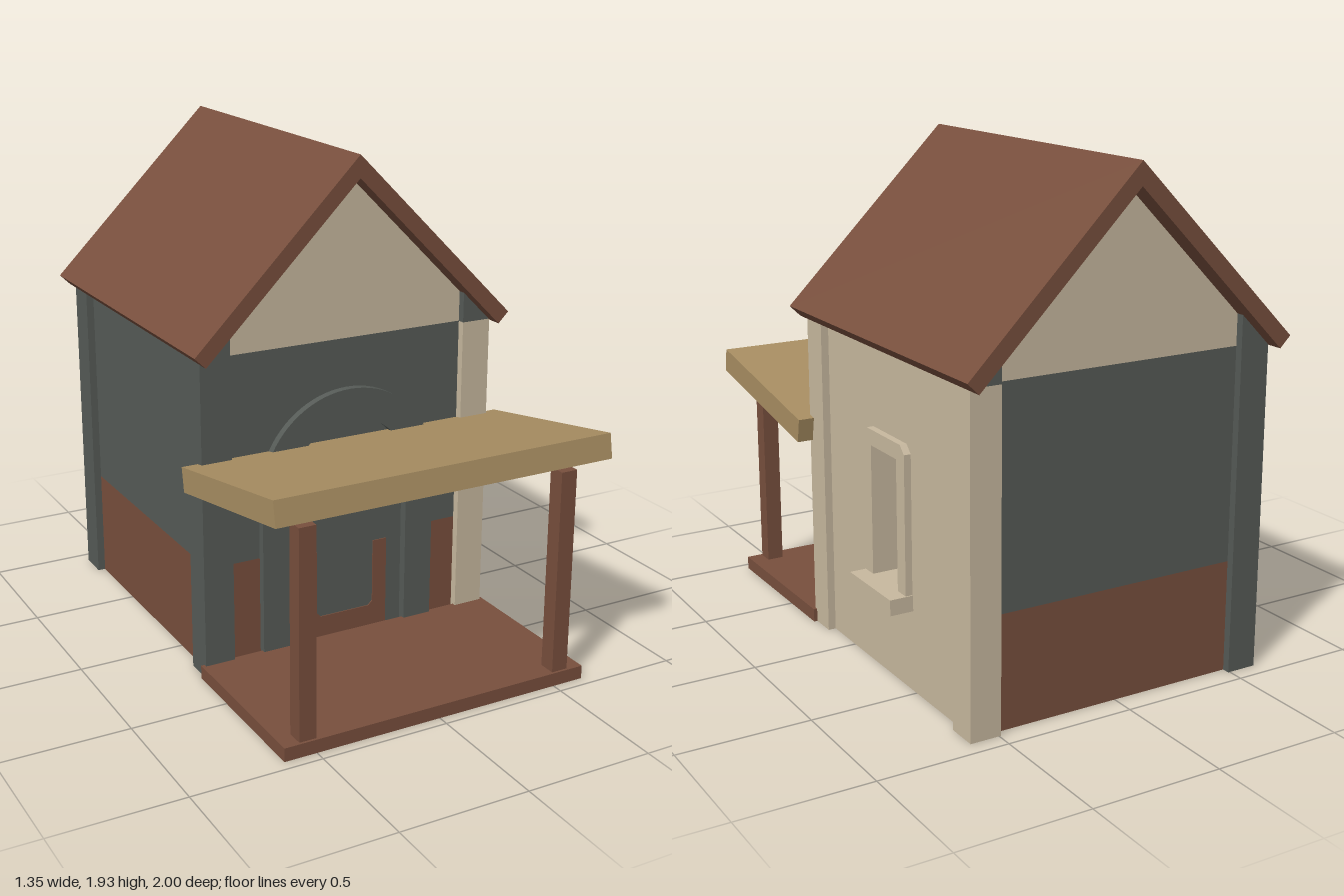
import * as THREE from 'three';

const paint = (name, color) => {
  const m = new THREE.MeshStandardMaterial({ color });
  m.name = name;
  return m;
};

export function createModel() {
  const house = new THREE.Group();
  house.name = 'house';
  const cream = paint('cream plaster', 0xc8b99f);
  const slate = paint('slate paint', 0x565b57);
  const brown = paint('brown wood', 0x784f3d);
  const gold = paint('golden awning', 0xa88e62);

  const add = (name, geometry, material) => {
    const mesh = new THREE.Mesh(geometry, material);
    mesh.name = name;
    house.add(mesh);
    return mesh;
  };
  // Box given by its lower and upper limits on each axis
  const box = (name, material, x0, x1, y0, y1, z0, z1) => {
    const g = new THREE.BoxGeometry(x1 - x0, y1 - y0, z1 - z0);
    g.translate((x0 + x1) / 2, (y0 + y1) / 2, (z0 + z1) / 2);
    return add(name, g, material);
  };
  const poly = (pts) => new THREE.Shape(pts.map(([x, y]) => new THREE.Vector2(x, y)));
  // Outline extruded along z from z0 to z1
  const slab = (name, material, shape, z0, z1) => {
    const g = new THREE.ExtrudeGeometry(shape, { depth: z1 - z0, bevelEnabled: false, curveSegments: 20 });
    g.translate(0, 0, z0);
    return add(name, g, material);
  };
  // Outline in (-z, y) extruded along x from x0 to x1
  const sideSlab = (name, material, shape, x0, x1) => {
    const g = new THREE.ExtrudeGeometry(shape, { depth: x1 - x0, bevelEnabled: false });
    g.rotateY(Math.PI / 2);
    g.translate(x0, 0, 0);
    return add(name, g, material);
  };
  // Round-topped outline
  const arch = (r, bottom, spring, T = THREE.Shape) => {
    const s = new T();
    s.moveTo(-r, bottom);
    s.lineTo(r, bottom);
    s.lineTo(r, spring);
    s.absarc(0, spring, r, 0, Math.PI, false);
    s.lineTo(-r, bottom);
    return s;
  };

  const X = 0.613, P = 0.12, IN = 0.03, T = 0.06;  // half width, post size, wall recess, wall thickness
  const ZF = 0.295, ZB = -0.937;                   // front and back of the posts
  const BAND = 0.43, EAVE = 1.24, PEAK = 1.85, SPRING = 0.68;
  const wx = X - P / 2;
  const frontZ = [ZF - IN - T, ZF - IN], backZ = [ZB + IN, ZB + IN + T];

  // Corner posts with tops cut to the roof slope
  for (const z0 of [ZF - P, ZB]) {
    for (const s of [1, -1]) {
      const a = Math.min(s * X, s * (X - P)), b = a + P;
      box('cornerPost', s > 0 ? cream : slate, a, b, 0, EAVE, z0, z0 + P);
      const inner = s > 0 ? a : b;
      slab('cornerPostTop', slate, poly([[a, EAVE], [b, EAVE], [inner, PEAK - X + P]]), z0, z0 + P);
    }
  }

  // Gables above the eaves
  for (const [z0, z1] of [frontZ, backZ]) {
    const y = PEAK - wx;
    slab('gable', cream, poly([[-wx, EAVE], [wx, EAVE], [wx, y], [0, PEAK], [-wx, y]]), z0, z1);
  }

  // Back wall
  box('backWainscot', brown, -wx, wx, 0, BAND, ...backZ);
  box('backWall', slate, -wx, wx, BAND, EAVE, ...backZ);

  // Plain side wall
  box('rightWainscot', brown, -X + IN, -X + IN + T, 0, BAND, ZB + P / 2, ZF - P / 2);
  box('rightWall', slate, -X + IN, -X + IN + T, BAND, 1.27, ZB + P / 2, ZF - P / 2);

  // Side wall with window opening
  const opening = [[0.22, 0.37], [0.415, 0.37], [0.415, 0.865], [0.22, 0.865]];
  const wall = poly([[-ZF + P / 2, 0], [-ZB - P / 2, 0], [-ZB - P / 2, 1.27], [-ZF + P / 2, 1.27]]);
  wall.holes.push(poly(opening));
  sideSlab('leftWall', cream, wall, X - IN - T, X - IN);
  const frame = poly([[0.16, 0.37], [0.22, 0.37], [0.22, 0.865], [0.415, 0.865], [0.415, 0.37],
    [0.475, 0.37], [0.475, 0.895], [0.445, 0.925], [0.19, 0.925], [0.16, 0.895]]);
  sideSlab('windowFrame', cream, frame, X - P, X - 0.003);
  box('windowSill', cream, X - P, 0.675, 0.31, 0.37, -0.48, -0.16);

  // Front wall around the doorway
  const R = 0.31;
  for (const s of [1, -1]) {
    box('frontWainscot', brown, Math.min(s * R, s * wx), Math.max(s * R, s * wx), 0, BAND, ...frontZ);
  }
  const front = poly([[-wx, BAND], [-R, BAND], [-R, SPRING]]);
  front.absarc(0, SPRING, R, Math.PI, 0, true);
  front.lineTo(R, BAND);
  front.lineTo(wx, BAND);
  front.lineTo(wx, EAVE);
  front.lineTo(-wx, EAVE);
  slab('frontWall', slate, front, ...frontZ);

  // Arched door surround
  const surround = poly([[0.25, 0], [0.37, 0], [0.37, SPRING]]);
  surround.absarc(0, SPRING, 0.37, 0, Math.PI, false);
  surround.lineTo(-0.37, 0);
  surround.lineTo(-0.25, 0);
  surround.lineTo(-0.25, SPRING);
  surround.absarc(0, SPRING, 0.25, Math.PI, 0, true);
  surround.lineTo(0.25, 0);
  slab('doorSurround', slate, surround, ZF - P, ZF);

  // Door with an arched opening and a painted border on both faces
  const door = arch(0.255, 0, SPRING);
  door.holes.push(arch(0.125, 0.61, SPRING, THREE.Path));
  const dz = [0.21, 0.26];
  slab('door', slate, door, ...dz);
  const border = poly([[-0.187, 0.01], [0.183, 0.01], [0.183, 0.4], [0.123, 0.4], [0.123, 0.145],
    [0.105, 0.127], [-0.107, 0.127], [-0.125, 0.145], [-0.125, 0.4], [-0.187, 0.4]]);
  slab('doorBorder', brown, border, dz[1], dz[1] + 0.004);
  slab('doorBorderInside', brown, border, dz[0] - 0.004, dz[0]);

  // Roof: two slopes at 45 degrees
  for (const s of [1, -1]) {
    const pts = [[0, PEAK], [s * 0.615, PEAK - 0.615], [s * 0.658, PEAK + 0.085 - 0.658], [0, PEAK + 0.085]];
    slab('roofSlope', brown, poly(pts), -1, 0.355);
  }

  // Porch floor and posts
  box('porchFloor', brown, -0.627, 0.627, 0, 0.052, 0.28, 0.957);
  for (const s of [1, -1]) {
    box('porchPost', brown, s * 0.531 - 0.033, s * 0.531 + 0.033, 0.052, 0.845, 0.88, 0.947);
  }

  // Awning, rising outwards
  const awning = add('awning', new THREE.BoxGeometry(1.352, 0.094, 0.735), gold);
  awning.position.set(0, 0.867, 0.63);
  awning.rotation.x = -0.176;

  return house;
}
